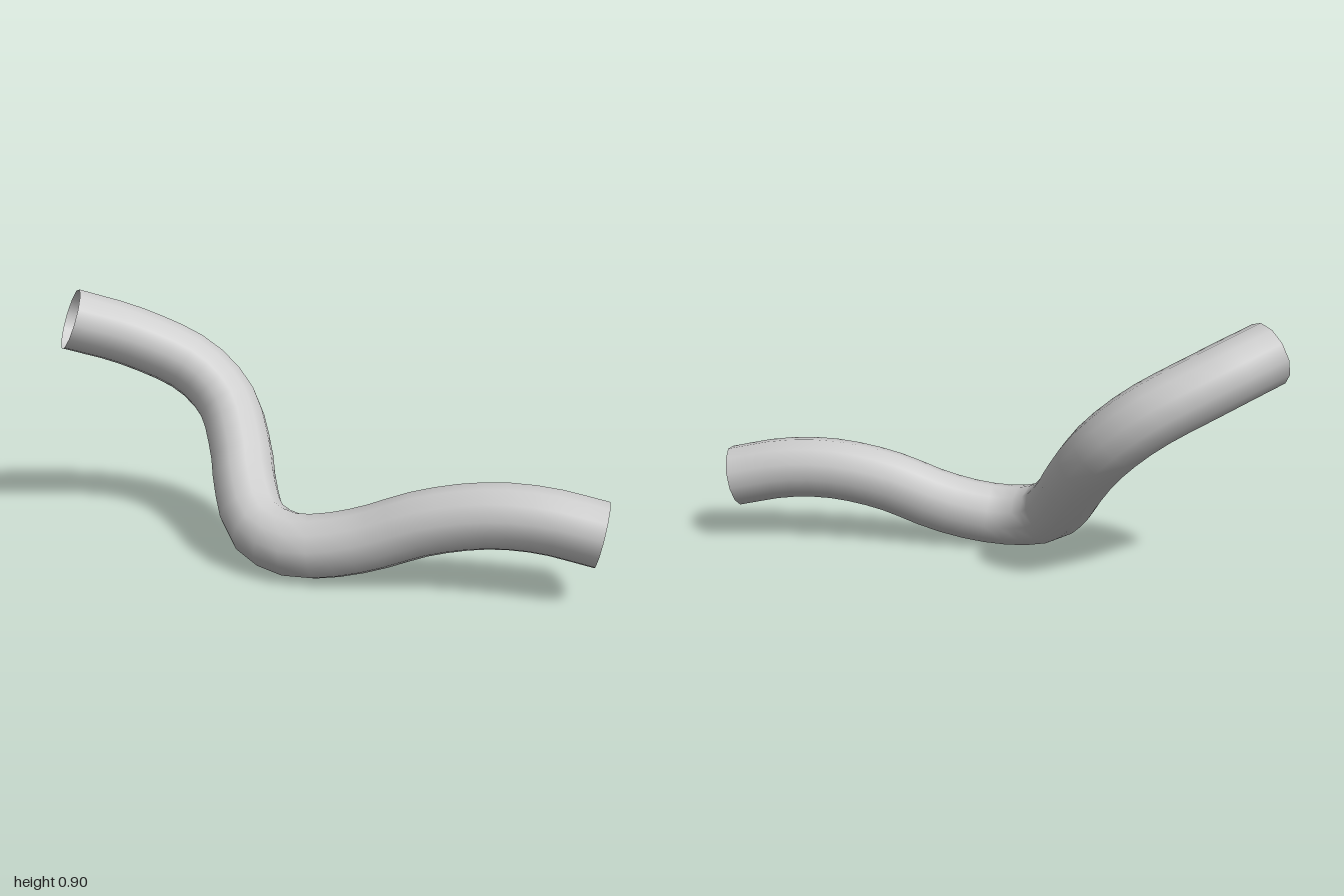
import * as THREE from 'three';

export function createModel() {
  const group = new THREE.Group();
  group.name = 'bentPipe';

  const pipeGrey = new THREE.MeshStandardMaterial({ color: 0xcccccc, side: THREE.DoubleSide });
  pipeGrey.name = 'pipeGrey';

  // Centre line: drops from the raised end, bends at the floor, then rises in a gentle arch
  const path = new THREE.CatmullRomCurve3([
    [-0.935, 0.8, -0.075],
    [-0.74, 0.72, -0.18],
    [-0.52, 0.605, -0.232],
    [-0.39, 0.485, -0.195],
    [-0.31, 0.345, -0.08],
    [-0.265, 0.24, 0.03],
    [-0.19, 0.148, 0.15],
    [-0.06, 0.115, 0.215],
    [0.06, 0.125, 0.225],
    [0.2, 0.16, 0.225],
    [0.4, 0.235, 0.225],
    [0.6, 0.275, 0.225],
    [0.78, 0.274, 0.225],
    [0.972, 0.238, 0.225],
  ].map((p) => new THREE.Vector3(...p)));

  // Hollow pipe, open at both ends
  const pipe = new THREE.Mesh(new THREE.TubeGeometry(path, 32, 0.112, 12, false), pipeGrey);
  pipe.name = 'pipe';
  group.add(pipe);

  return group;
}
